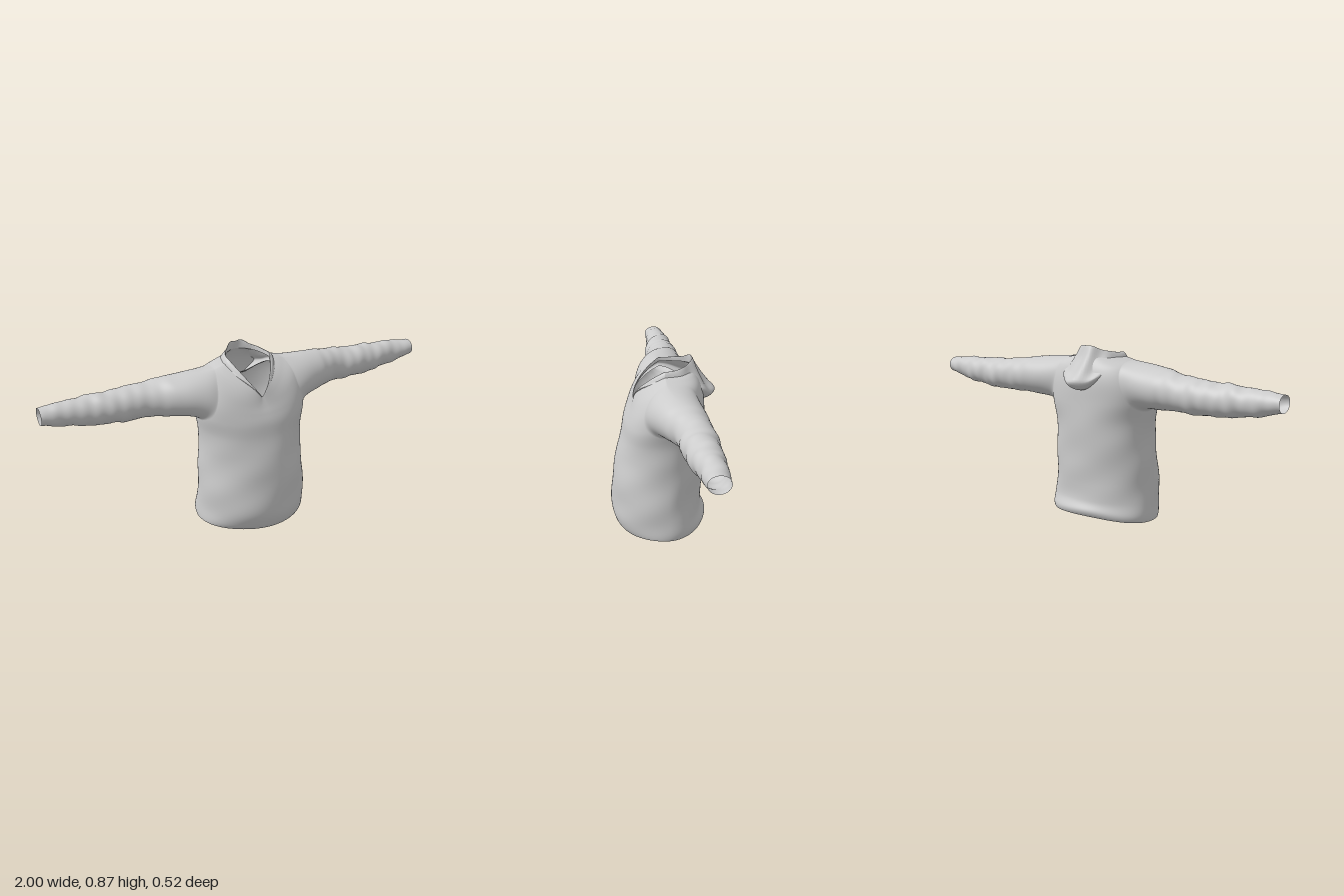
import * as THREE from 'three';

const material = new THREE.MeshStandardMaterial({ color: 0xcccccc, side: THREE.DoubleSide });

// Smooth interpolation through the rows of a table, t = 0..rows-1
function sample(rows, t) {
  const n = rows.length - 1;
  const i = Math.min(Math.max(Math.floor(t), 0), n - 1), f = t - i;
  const row = (k) => rows[Math.min(Math.max(k, 0), n)];
  return rows[i].map((p1, c) => {
    const p0 = row(i - 1)[c], p2 = row(i + 1)[c], p3 = row(i + 2)[c];
    return p1 + 0.5 * f * (p2 - p0 + f * (2 * p0 - 5 * p1 + 4 * p2 - p3 + f * (3 * (p1 - p2) + p3 - p0)));
  });
}

// Closed-around surface from point(t 0..1, angle); cells can be left out with skip(t, angle)
function loft(name, point, rows, cols, skip = () => false) {
  const pts = [], index = [], turn = (Math.PI * 2) / cols;
  for (let i = 0; i <= rows; i++)
    for (let j = 0; j < cols; j++) pts.push(point(i / rows, j * turn));
  for (let i = 0; i < rows; i++)
    for (let j = 0; j < cols; j++) {
      const a = i * cols + j, b = i * cols + ((j + 1) % cols), c = b + cols, d = a + cols;
      if (!skip((i + 0.5) / rows, (j + 0.5) * turn)) index.push(a, b, c, a, c, d);
    }
  const geometry = new THREE.BufferGeometry().setFromPoints(pts);
  geometry.setIndex(index);
  geometry.computeVertexNormals();
  const mesh = new THREE.Mesh(geometry, material);
  mesh.name = name;
  return mesh;
}

const power = (v, e) => Math.sign(v) * Math.pow(Math.abs(v), e);

// Torso rings: half width, side y, front z, front y, back z, back y, pointedness, roundness
const torsoRings = [
  [0.276, 0.026, 0.203, 0.006, -0.198, 0.05, 0, 1],
  [0.283, 0.022, 0.217, 0.003, -0.207, 0.047, 0, 1],
  [0.285, 0.05, 0.24, 0.04, -0.217, 0.075, 0, 1],
  [0.28, 0.11, 0.256, 0.1, -0.197, 0.12, 0, 1],
  [0.274, 0.2, 0.254, 0.2, -0.193, 0.2, 0, 1],
  [0.267, 0.3, 0.243, 0.3, -0.198, 0.3, 0, 1],
  [0.262, 0.4, 0.222, 0.4, -0.201, 0.4, 0, 0.98],
  [0.262, 0.5, 0.203, 0.48, -0.201, 0.5, 0, 0.94],
  [0.276, 0.6, 0.188, 0.55, -0.201, 0.6, 0, 0.86],
  [0.275, 0.7, 0.171, 0.595, -0.197, 0.69, 0.15, 0.84],
  [0.24, 0.775, 0.156, 0.627, -0.184, 0.755, 0.4, 0.88],
  [0.17, 0.802, 0.146, 0.65, -0.165, 0.8, 0.75, 0.95],
  [0.105, 0.815, 0.138, 0.672, -0.15, 0.825, 1, 1.05],
];

function torsoPoint(t, a) {
  const [w, ys, zf, yf, zb, yb, sharp, e] = sample(torsoRings, t * (torsoRings.length - 1));
  const s = Math.sin(a), c = Math.cos(a), front = c > 0;
  const k = THREE.MathUtils.lerp(c * c, front ? Math.pow(1 - Math.abs(s), 0.9) : c * c, sharp);
  const y = ys + ((front ? yf : yb) - ys) * k;
  // Soft diagonal folds, fading towards the neck
  const fold = 1 + 0.012 * (1 - t) * (Math.sin(3 * a + 22 * y) + 0.7 * Math.sin(5 * a - 31 * y + 1));
  // Front of the neckline narrows to a point
  const ez = e + (front ? 0.7 * sharp : 0);
  return new THREE.Vector3(w * power(s, e) * fold, y, (front ? zf : -zb) * power(c, ez) * fold);
}

// Armhole: an ellipse on the torso surface, in surface height and angle from the front
const armhole = { t: 9.2 / 12, height: 1.65 / 12, middle: Math.PI / 2 + 0.06, angle: 0.76 };

function inArmhole(t, a) {
  const da = Math.PI - Math.abs(Math.PI - a) - armhole.middle;
  return Math.hypot((t - armhole.t) / armhole.height, da / armhole.angle) < 0.94;
}

// Sleeve sections every 0.1 from x = 0.2: top y, bottom y, front z, back z
const sleeveRings = [
  [0.8, 0.565, 0.17, -0.185],
  [0.793, 0.575, 0.115, -0.172],
  [0.78, 0.59, 0.055, -0.16],
  [0.765, 0.596, 0.012, -0.162],
  [0.755, 0.595, 0.003, -0.165],
  [0.75, 0.6, -0.003, -0.158],
  [0.746, 0.611, -0.019, -0.152],
  [0.74, 0.628, -0.03, -0.143],
  [0.731, 0.652, -0.035, -0.132],
];

function sleevePoint(side, t, a) {
  const x = 0.25 + 0.75 * t;
  const [top, bottom, zf, zb] = sample(sleeveRings, (x - 0.2) * 10);
  // Irregular wrinkles grow towards the forearm
  const amp = 0.03 * Math.min(1, t * 1.6) * Math.min(1, (1 - t) * 8 + 0.3);
  const r = 1 + amp * (Math.sin(37 * x + 2 * a * side + side) + 0.7 * Math.sin(61 * x - 3 * a) + 0.5 * Math.sin(97 * x + a));
  const section = new THREE.Vector3(
    side * x,
    (top + bottom) / 2 + side * 0.008 * t + ((top - bottom) / 2) * Math.cos(a) * r,
    (zf + zb) / 2 + ((zf - zb) / 2) * Math.sin(a * side) * r
  );
  // The first stretch leaves the armhole along the torso surface and turns into the sleeve
  const u = Math.min(1, t / 0.2), shrink = 1 - 0.3 * u;
  const edge = torsoPoint(
    armhole.t + armhole.height * shrink * Math.cos(a),
    side * (armhole.middle - armhole.angle * shrink * Math.sin(a * side))
  );
  return edge.lerp(section, u * u * (3 - 2 * u));
}

// Collar profile from the neckline: outward and upward, for the whole rim and extra for the hanging hood
const collarProfile = [
  [0, 0, 0, 0],
  [0.002, 0.018, -0.006, 0.027],
  [0.014, 0.012, 0.01, -0.027],
  [0.024, -0.008, 0.044, -0.075],
  [0.03, -0.02, 0.075, -0.108],
  [0.022, -0.03, 0.045, -0.133],
  [0.006, -0.028, 0.025, -0.118],
];

function collarPoint(t, a) {
  const rim = torsoPoint(1, a);
  const [out, up, hoodOut, hoodUp] = sample(collarProfile, t * (collarProfile.length - 1));
  const s = Math.sin(a), c = Math.cos(a);
  const rise = c < 0 ? 1 : 0.1 + 0.9 * s * s;
  const back = Math.max(0, -c);
  // The peak is narrow, the hanging part of the hood broad
  const hood = Math.pow(back, hoodUp > 0 ? 3 : 1.9);
  const crumple = 0.006 * back * back * Math.sin(9 * a + 7 * t) * Math.sin(Math.PI * t);
  const d = out * rise + hoodOut * hood + crumple;
  return new THREE.Vector3(rim.x + s * d, rim.y + up * rise + hoodUp * hood + crumple, rim.z + c * d);
}

export function createModel() {
  const group = new THREE.Group();
  group.name = 'sweatshirt';
  group.add(loft('torso', torsoPoint, 120, 120, inArmhole));
  for (const side of [1, -1])
    group.add(loft(side > 0 ? 'leftSleeve' : 'rightSleeve', (t, a) => sleevePoint(side, t, a), 120, 64));
  group.add(loft('hoodCollar', collarPoint, 28, 96));
  return group;
}
